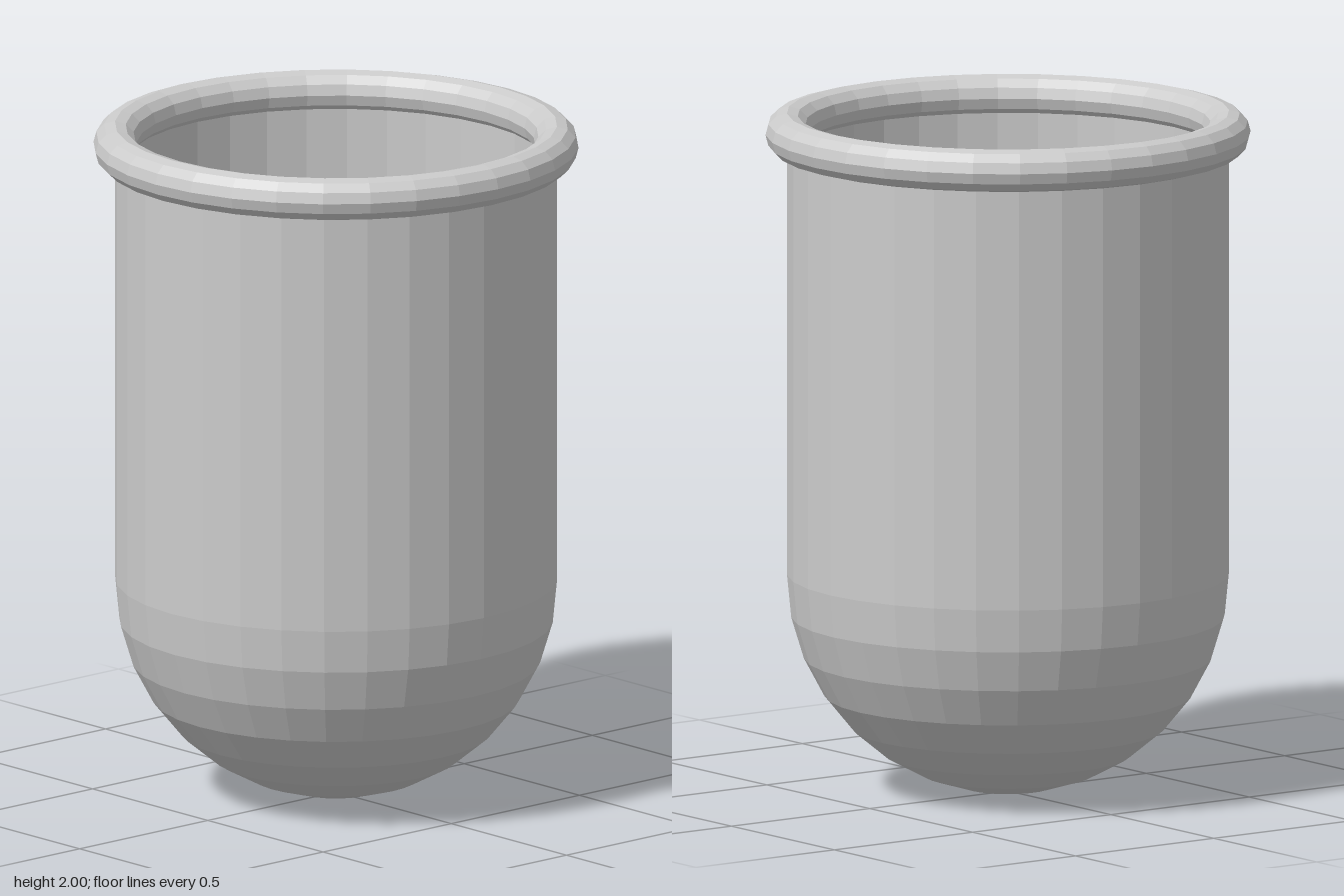
import * as THREE from 'three';

const SIDES = 32;
const OUTER = 0.642, INNER = 0.602, RIM_Y = 1.9375;

// Quarter arc from the bottom pole up to the straight wall
function bowlProfile(radius, steps = 8) {
  const points = [];
  for (let i = 0; i <= steps; i++) {
    const a = (i / steps) * Math.PI / 2;
    points.push(new THREE.Vector2(radius * Math.sin(a), OUTER - radius * Math.cos(a)));
  }
  return points;
}

export function createModel() {
  const group = new THREE.Group();
  const material = new THREE.MeshStandardMaterial({ color: 0xcccccc, flatShading: true });

  function add(name, geometry) {
    const mesh = new THREE.Mesh(geometry, material);
    mesh.name = name;
    group.add(mesh);
    return mesh;
  }

  // Round-bottomed vessel: up the outside, over the lip, down the inside
  const profile = [
    ...bowlProfile(OUTER),
    new THREE.Vector2(OUTER, RIM_Y),
    new THREE.Vector2(INNER, RIM_Y),
    ...bowlProfile(INNER).reverse(),
  ];
  add('vessel', new THREE.LatheGeometry(profile, SIDES));

  // Rolled rim
  const rim = add('rim', new THREE.TorusGeometry(OUTER, 0.0625, 12, SIDES));
  rim.rotation.x = -Math.PI / 2;
  rim.position.y = RIM_Y;

  // Contents filling the vessel up to a flat surface
  const fill = INNER - 0.003, level = 1.6;
  add('contents', new THREE.LatheGeometry([
    ...bowlProfile(fill),
    new THREE.Vector2(fill, level),
    new THREE.Vector2(0, level),
  ], SIDES));

  return group;
}
